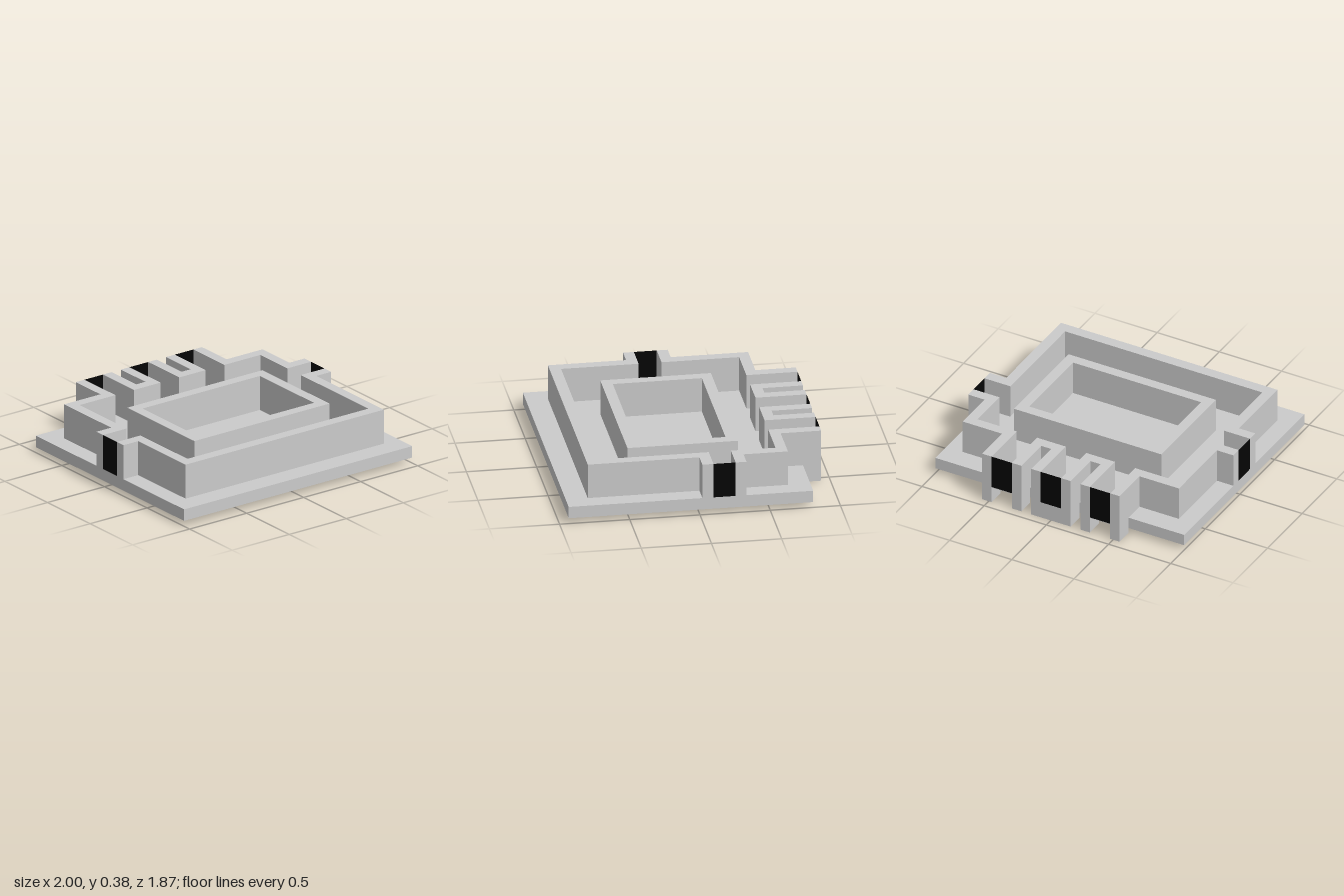
import * as THREE from 'three';

const FLOOR = 0.128, TOP = 0.385, BASE = 0.041;
const BACK = -0.935, EDGE = -0.806, FRONT = 0.935;

const grey = new THREE.MeshStandardMaterial({ color: 0xcccccc, flatShading: true });
const thinGrey = new THREE.MeshStandardMaterial({ color: 0xcccccc, side: THREE.DoubleSide });
const black = new THREE.MeshStandardMaterial({ color: 0x050505, side: THREE.DoubleSide });

// Raise a floor-plan outline of [x, z] points from y0 to y1
function raise(name, outline, y0, y1, hole) {
  const toVec = ([x, z]) => new THREE.Vector2(x, -z);
  const shape = new THREE.Shape(outline.map(toVec));
  if (hole) shape.holes.push(new THREE.Path(hole.map(toVec).reverse()));
  const geo = new THREE.ExtrudeGeometry(shape, { depth: y1 - y0, bevelEnabled: false });
  geo.rotateX(-Math.PI / 2);
  geo.translate(0, y0, 0);
  const mesh = new THREE.Mesh(geo, grey);
  mesh.name = name;
  return mesh;
}

const rect = (x0, x1, z0, z1) => [[x0, z0], [x1, z0], [x1, z1], [x0, z1]];

// Thin upright panel closing the end of a passage
function panel(name, material, width, x, z, turn, y0 = FLOOR, y1 = TOP) {
  const mesh = new THREE.Mesh(new THREE.PlaneGeometry(width, y1 - y0), material);
  mesh.name = name;
  mesh.position.set(x, (y0 + y1) / 2, z);
  mesh.rotation.y = turn;
  return mesh;
}

export function createModel() {
  const model = new THREE.Group();

  // Ground slab
  model.add(raise('basePlate', rect(-1, 1, EDGE, FRONT), BASE, FLOOR));

  // Front wall, wrapping round to both side passages
  model.add(raise('frontWall', [
    [-0.87, 0.778], [0.87, 0.778], [0.87, -0.017], [1, -0.017], [1, -0.096], [0.793, -0.096],
    [0.793, 0.697], [-0.793, 0.697], [-0.793, 0.145], [-1, 0.145], [-1, 0.222], [-0.87, 0.222],
  ], FLOOR, TOP));

  // Back corner walls
  model.add(raise('backRightWall', [
    [-1, -0.096], [-0.87, -0.096], [-0.87, -0.647], [-0.553, -0.647], [-0.553, BACK],
    [-0.477, BACK], [-0.477, -0.571], [-0.793, -0.571], [-0.793, -0.018], [-1, -0.018],
  ], FLOOR, TOP));
  model.add(raise('backLeftWall', [
    [0.553, BACK], [0.553, -0.647], [0.87, -0.647], [0.87, -0.331], [1, -0.331], [1, -0.254],
    [0.793, -0.254], [0.793, -0.571], [0.477, -0.571], [0.477, BACK],
  ], FLOOR, TOP));

  // U-shaped walls between the three back passages
  for (const s of [-1, 1]) {
    model.add(raise('passageDivider', [
      [0.314, BACK], [0.314, -0.571], [0.082, -0.571], [0.082, BACK],
      [0.158, BACK], [0.158, -0.647], [0.238, -0.647], [0.238, BACK],
    ].map(([x, z]) => [s * x, z]), FLOOR, TOP));
  }

  // Inner courtyard wall
  model.add(raise('innerWall', rect(-0.553, 0.632, -0.331, 0.457), FLOOR, TOP,
    rect(-0.477, 0.553, -0.254, 0.38)));

  // Feet under the passage walls that overhang the slab
  for (const s of [-1, 1]) {
    for (const [a, b] of [[0.082, 0.158], [0.238, 0.314], [0.477, 0.553]]) {
      model.add(raise('passageFoot', rect(s * a, s * b, BACK, EDGE), 0, FLOOR));
    }
  }

  // Thin floors and dark end panels of the back passages
  for (const x of [-0.3955, 0, 0.3955]) {
    model.add(raise('passageFloor', rect(x - 0.082, x + 0.082, BACK, EDGE), FLOOR - 0.004, FLOOR));
    model.add(panel('backPanel', black, 0.164, x, BACK, Math.PI));
  }
  model.add(panel('middleApron', thinGrey, 0.164, 0, BACK, Math.PI, 0, FLOOR));

  // Dark end panels of the side passages
  model.add(panel('leftPanel', black, 0.158, 1, -0.175, Math.PI / 2));
  model.add(panel('rightPanel', black, 0.163, -1, 0.0635, -Math.PI / 2));

  return model;
}
